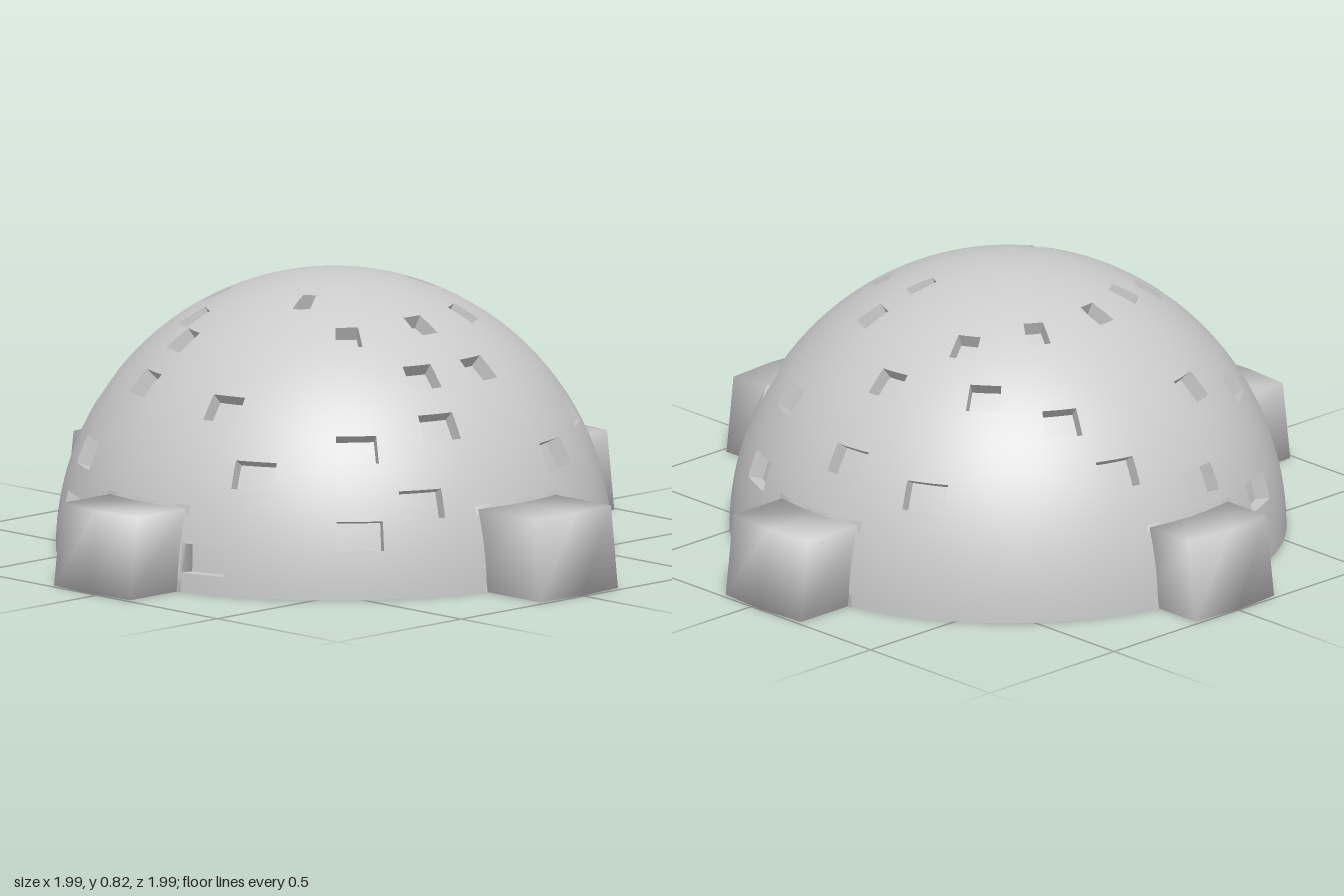
import * as THREE from 'three';
import { mergeVertices, toCreasedNormals } from 'three/addons/utils/BufferGeometryUtils.js';

const R = 0.808, DEPTH = 0.045, STEP = 2, CZ = -0.035;
const grey = new THREE.MeshStandardMaterial({ color: 0xcccccc });
const greyDouble = new THREE.MeshStandardMaterial({ color: 0xcccccc, side: THREE.DoubleSide });

// window centres in plan (x, z from the dome axis)
const WINDOWS = [
  [-0.07, -0.74], [0.21, -0.68], [-0.41, -0.51], [-0.18, -0.58], [0.29, -0.54],
  [-0.65, -0.35], [-0.03, -0.35], [0.18, -0.31], [0.42, -0.35], [0.65, -0.34],
  [-0.21, -0.27], [-0.36, -0.21], [-0.57, -0.19], [-0.45, -0.16], [0.37, -0.21],
  [0.54, -0.065], [0.7, -0.065], [-0.23, 0.12], [0.23, 0.12], [0.37, 0.18],
  [-0.6, 0.17], [-0.26, 0.32], [0.59, 0.3], [0.19, 0.355], [-0.04, 0.395],
  [-0.16, 0.53], [0.05, 0.54], [0.44, 0.53], [-0.44, 0.53], [-0.2, 0.63],
  [0.22, 0.7], [-0.33, 0.69], [-0.65, 0.33], [-0.5, 0.605], [-0.765, 0.24],
  [0.69, 0.33], [-0.34, -0.7], [-0.69, -0.39],
];

function add(group, name, geometry, material = grey) {
  const mesh = new THREE.Mesh(geometry, material);
  mesh.name = name;
  group.add(mesh);
}

// Dome as a latitude/longitude grid; the cells of a window sit deeper
function domeGeometry() {
  const cols = 360 / STEP, rows = 90 / STEP;
  const recessed = new Set();
  for (const [x, z] of WINDOWS) {
    const lon = THREE.MathUtils.radToDeg(Math.atan2(x, z));
    const lat = THREE.MathUtils.radToDeg(Math.acos(Math.min(1, Math.hypot(x, z) / R)));
    const c = Math.floor(lon / STEP), r = Math.floor(lat / STEP);
    for (let i = -2; i <= 2; i++) {
      for (let j = -1; j <= 1; j++) recessed.add(((c + i + cols) % cols) + ',' + Math.max(0, r + j));
    }
  }
  const radius = (c, r) => recessed.has(((c + cols) % cols) + ',' + r) ? R - DEPTH : R;
  const point = (c, r, d) => {
    const lon = THREE.MathUtils.degToRad(c * STEP), lat = THREE.MathUtils.degToRad(r * STEP);
    return [d * Math.cos(lat) * Math.sin(lon), 1.014 * d * Math.sin(lat), d * Math.cos(lat) * Math.cos(lon)];
  };
  const pos = [];
  const quad = (a, b, c, d) => pos.push(...a, ...b, ...c, ...a, ...c, ...d);
  for (let c = 0; c < cols; c++) {
    for (let r = 0; r < rows; r++) {
      const d = radius(c, r), side = radius(c + 1, r), above = r < rows - 1 ? radius(c, r + 1) : d;
      if (r === rows - 1) pos.push(...point(c, r, d), ...point(c + 1, r, d), ...point(c, r + 1, d));
      else quad(point(c, r, d), point(c + 1, r, d), point(c + 1, r + 1, d), point(c, r + 1, d));
      // reveals between a window cell and its neighbours
      if (side !== d) quad(point(c + 1, r, d), point(c + 1, r, side), point(c + 1, r + 1, side), point(c + 1, r + 1, d));
      if (above !== d) quad(point(c, r + 1, d), point(c + 1, r + 1, d), point(c + 1, r + 1, above), point(c, r + 1, above));
    }
  }
  const geometry = new THREE.BufferGeometry();
  geometry.setAttribute('position', new THREE.Float32BufferAttribute(pos, 3));
  return toCreasedNormals(geometry, 0.6);
}

// Softly shaded box along +z whose outer end follows a sphere of the given reach
function porchGeometry(width, height, inner, reach) {
  const box = new THREE.BoxGeometry(width, height, 1, 2, 1, 1);
  box.deleteAttribute('normal');
  box.deleteAttribute('uv');
  const geometry = mergeVertices(box);
  const p = geometry.attributes.position;
  for (let i = 0; i < p.count; i++) {
    const x = p.getX(i), y = p.getY(i) + height / 2;
    const z = p.getZ(i) > 0 ? Math.sqrt(reach * reach - x * x - y * y) : inner;
    p.setXYZ(i, x, y, z);
  }
  geometry.computeVertexNormals();
  return geometry;
}

// Round floor with four curved openings between the walkways
function floorGeometry() {
  const shape = new THREE.Shape().absarc(0, 0, R - 0.005, 0, Math.PI * 2);
  for (let i = 0; i < 4; i++) {
    const a = Math.PI / 4 + i * Math.PI / 2, w = 0.4;
    const hole = new THREE.Path();
    hole.absarc(0, 0, 0.69, a - w, a + w, false);
    hole.absarc(0, 0, 0.4, a + w, a - w, true);
    hole.closePath();
    shape.holes.push(hole);
  }
  return new THREE.ShapeGeometry(shape, 48).rotateX(Math.PI / 2).translate(0, 0.01, 0);
}

export function createModel() {
  const model = new THREE.Group();
  model.name = 'domeBuilding';
  const body = new THREE.Group();
  body.name = 'body';
  body.position.z = CZ;
  model.add(body);

  add(body, 'dome', domeGeometry(), greyDouble);
  add(body, 'floor', floorGeometry(), greyDouble);

  // shallow ringed disc under the floor
  const profile = [[0, 0.008], [0.03, 0.003], [0.04, 0.003], [0.045, 0.009],
    [0.24, 0.006], [0.265, 0.001], [0.285, 0.001], [0.3, 0.01]];
  const disc = new THREE.LatheGeometry(profile.map(([x, y]) => new THREE.Vector2(x, y)), 40);
  add(body, 'floorDisc', disc, greyDouble);

  // entrances: front, left, back, right, each with a thin collar at the wall
  [1.027, 0.997, 0.963, 0.997].forEach((reach, i) => {
    const entrance = new THREE.Group();
    entrance.name = ['front', 'left', 'back', 'right'][i] + 'Entrance';
    entrance.rotation.y = i * Math.PI / 2;
    add(entrance, 'porch', porchGeometry(0.315, 0.24, 0.74, reach));
    add(entrance, 'collar', porchGeometry(0.335, 0.25, 0.74, R + 0.005));
    body.add(entrance);
  });
  return model;
}
